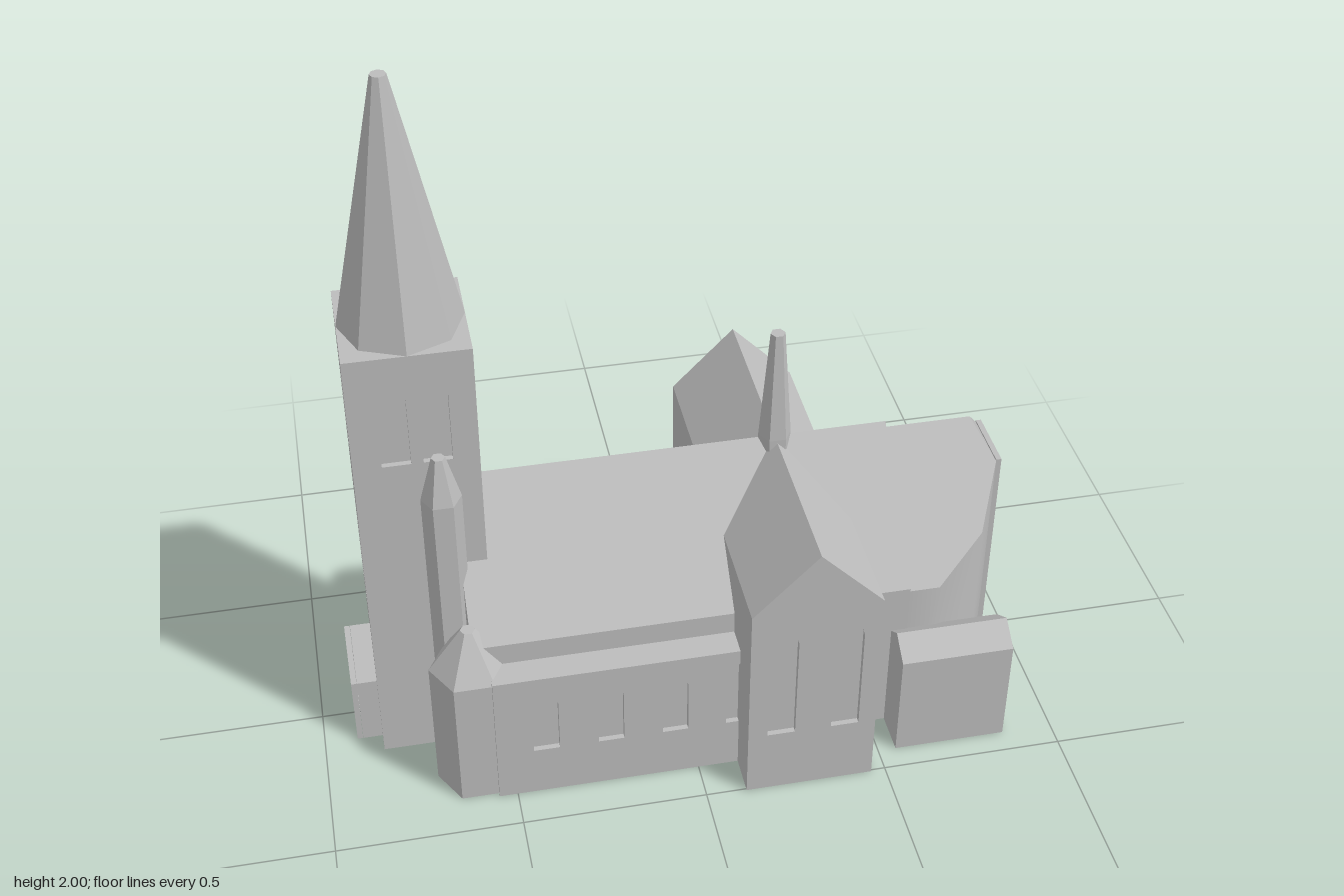
import * as THREE from 'three';

const stone = new THREE.MeshStandardMaterial({ color: 0xbcbcbc });
stone.name = 'stone grey';
const T = 0.015; // depth of the window recesses

function flat(geometry) {
  const g = geometry.index ? geometry.toNonIndexed() : geometry;
  g.computeVertexNormals();
  return g;
}

function add(parent, name, geometry, x = 0, y = 0, z = 0, turn = 0) {
  const mesh = new THREE.Mesh(geometry, stone);
  mesh.name = name;
  mesh.position.set(x, y, z);
  mesh.rotation.y = turn;
  parent.add(mesh);
  return mesh;
}

// Box given by its limits
function block(parent, name, x0, x1, y0, y1, z0, z1) {
  return add(parent, name, new THREE.BoxGeometry(x1 - x0, y1 - y0, z1 - z0),
    (x0 + x1) / 2, (y0 + y1) / 2, (z0 + z1) / 2);
}

const toShape = (pts) => new THREE.Shape(pts.map(([x, y]) => new THREE.Vector2(x, y)));
const gable = (c, w, wall, ridge) => [[c - w, 0], [c + w, 0], [c + w, wall], [c, ridge], [c - w, wall]];
const rect = (x0, x1, y) => [[x0, 0], [x1, 0], [x1, y], [x0, y]];

// Pitched-roof block running along its local z from 0 to length
function gableBlock(w, wall, ridge, length) {
  return new THREE.ExtrudeGeometry(toShape(gable(0, w, wall, ridge)), { depth: length, bevelEnabled: false });
}

// Pointed window opening: centre, half width, sill, spring line, tip
function lancet(c, w, y0, spring, tip) {
  const p = new THREE.Path();
  const mid = spring + (tip - spring) * 0.55;
  p.moveTo(c - w, y0);
  p.lineTo(c + w, y0);
  p.lineTo(c + w, spring);
  p.quadraticCurveTo(c + w * 0.75, mid, c, tip);
  p.quadraticCurveTo(c - w * 0.75, mid, c - w, spring);
  p.lineTo(c - w, y0);
  return p;
}

// Outer wall skin pierced by windows; side -1 mirrors it for the back
function facade(outline, windows, side = 1) {
  const shape = toShape(outline.map(([x, y]) => [x * side, y]));
  shape.holes = windows.map(([c, ...rest]) => lancet(c * side, ...rest));
  return new THREE.ExtrudeGeometry(shape, { depth: T, bevelEnabled: false, curveSegments: 4 });
}

// Facade pair facing +z and -z, with outer faces at distance z
function facadePair(parent, name, z, outline, windows) {
  for (const s of [1, -1]) {
    add(parent, name, facade(outline, windows, s), 0, 0, s * (z - T), s > 0 ? 0 : Math.PI);
  }
}

// Faceted shaft or spire
function prism(parent, name, rTop, rBottom, y0, y1, sides, x, z) {
  const start = sides === 6 ? Math.PI / 6 : 0;
  const g = new THREE.CylinderGeometry(rTop, rBottom, y1 - y0, sides, 1, false, start);
  return add(parent, name, flat(g), x, (y0 + y1) / 2, z);
}

// Rounded choir end whose wall tops follow the pitched roof
function buildApse(parent) {
  const half = [[0.59, 0.31], [0.68, 0.31], [0.82, 0.22], [0.905 - T, 0.09]];
  const plan = [...half, ...half.slice().reverse().map(([x, z]) => [x, -z])];
  const roofY = (z) => 0.79 - 1.05 * Math.abs(z);

  const wall = [], index = [];
  plan.forEach(([x, z], i) => {
    wall.push(x, 0, z, x, roofY(z), z);
    if (i < plan.length - 1) {
      const a = i * 2;
      index.push(a, a + 2, a + 3, a, a + 3, a + 1);
    }
  });
  const walls = new THREE.BufferGeometry();
  walls.setAttribute('position', new THREE.Float32BufferAttribute(wall, 3));
  walls.setIndex(index);
  walls.computeVertexNormals();
  add(parent, 'apseWall', walls);

  // Roof and floor fans
  const ring = [[0.59, 0], ...plan];
  const roof = [], floor = [];
  ring.forEach(([x, z], i) => {
    const [u, v] = ring[(i + 1) % ring.length];
    roof.push(0.835, 0.79, 0, x, roofY(z), z, u, roofY(v), v);
    floor.push(0.835, 0, 0, u, 0, v, x, 0, z);
  });
  const caps = new THREE.BufferGeometry();
  caps.setAttribute('position', new THREE.Float32BufferAttribute([...roof, ...floor], 3));
  add(parent, 'apseRoof', flat(caps));

  const windows = [-0.053, 0.053].map((c) => [c, 0.034, 0.335, 0.62, 0.685]);
  add(parent, 'apseEndWall', facade(rect(-0.09, 0.09, 0.7), windows), 0.905 - T, 0, 0, Math.PI / 2);
}

function buildTower(parent) {
  const tower = new THREE.Group();
  tower.name = 'tower';
  parent.add(tower);
  block(tower, 'towerCore', -0.84 + T, -0.52, 0, 1.32, -0.16 + T, 0.16 - T);
  const belfry = (c) => [c, 0.037, 0.99, 1.19, 1.255];
  facadePair(tower, 'towerSideWall', 0.16, rect(-0.84, -0.52, 1.32), [belfry(-0.73), belfry(-0.625)]);
  const west = [belfry(-0.053), belfry(0.053)];
  for (const c of [-0.09, 0, 0.09]) west.push([c, 0.034, 0.42, 0.68, 0.76]);
  add(tower, 'towerWestWall', facade(rect(-0.16 + T, 0.16 - T, 1.32), west), -0.84 + T, 0, 0, -Math.PI / 2);
  prism(tower, 'spire', 0.02, 0.16, 1.32, 2, 8, -0.68, 0);

  // Stair turret on the tower flank
  prism(tower, 'stairTurret', 0.053, 0.053, 0, 0.88, 6, -0.627, 0.172);
  prism(tower, 'stairTurretRoof', 0.018, 0.053, 0.88, 1.01, 6, -0.627, 0.172);

  // West porch
  add(tower, 'porch', gableBlock(0.105, 0.21, 0.33, 0.08), -0.83, 0, 0, -Math.PI / 2).scale.z = 0.8;
  add(tower, 'porchFront', facade(gable(0, 0.105, 0.21, 0.33), [[0, 0.055, 0.015, 0.14, 0.24]]),
    -0.91 + T, 0, 0, -Math.PI / 2);
}

export function createModel() {
  const church = new THREE.Group();
  church.name = 'church';

  // Nave
  add(church, 'nave', gableBlock(0.318, 0.48, 0.81, 1.185), -0.59, 0, 0, Math.PI / 2);

  // Side aisles
  for (const s of [1, -1]) {
    const z = [s * 0.3, s * (0.395 - T)].sort((a, b) => a - b);
    block(church, 'aisle', -0.55, 0.15, 0, 0.415, z[0], z[1]);
  }
  facadePair(church, 'aisleWall', 0.395, rect(-0.55, 0.16, 0.415),
    [-0.415, -0.24, -0.065, 0.11].map((c) => [c, 0.035, 0.155, 0.32, 0.37]));

  // Transept
  const depth = 0.505 - T;
  add(church, 'transept', gableBlock(0.175, 0.63, 0.81, depth * 2), 0.285, 0, -depth);
  facadePair(church, 'transeptGable', 0.505, gable(0.285, 0.175, 0.63, 0.81),
    [0.2, 0.375].map((c) => [c, 0.038, 0.2, 0.52, 0.595]));

  // Ridge turret over the crossing
  prism(church, 'ridgeTurretBase', 0.045, 0.045, 0.76, 0.82, 6, 0.285, 0);
  prism(church, 'ridgeTurret', 0.02, 0.045, 0.82, 1.145, 6, 0.285, 0);

  // Corner turrets beside the tower
  for (const s of [1, -1]) {
    prism(church, 'cornerTurret', 0.11, 0.11, 0, 0.4, 6, -0.595, s * 0.288);
    prism(church, 'cornerTurretRoof', 0.02, 0.11, 0.4, 0.525, 6, -0.595, s * 0.288);
  }

  buildApse(church);
  buildTower(church);

  // Sacristy
  add(church, 'sacristy', gableBlock(0.07, 0.32, 0.37, 0.31), 0.55, 0, 0.365, Math.PI / 2);

  return church;
}
